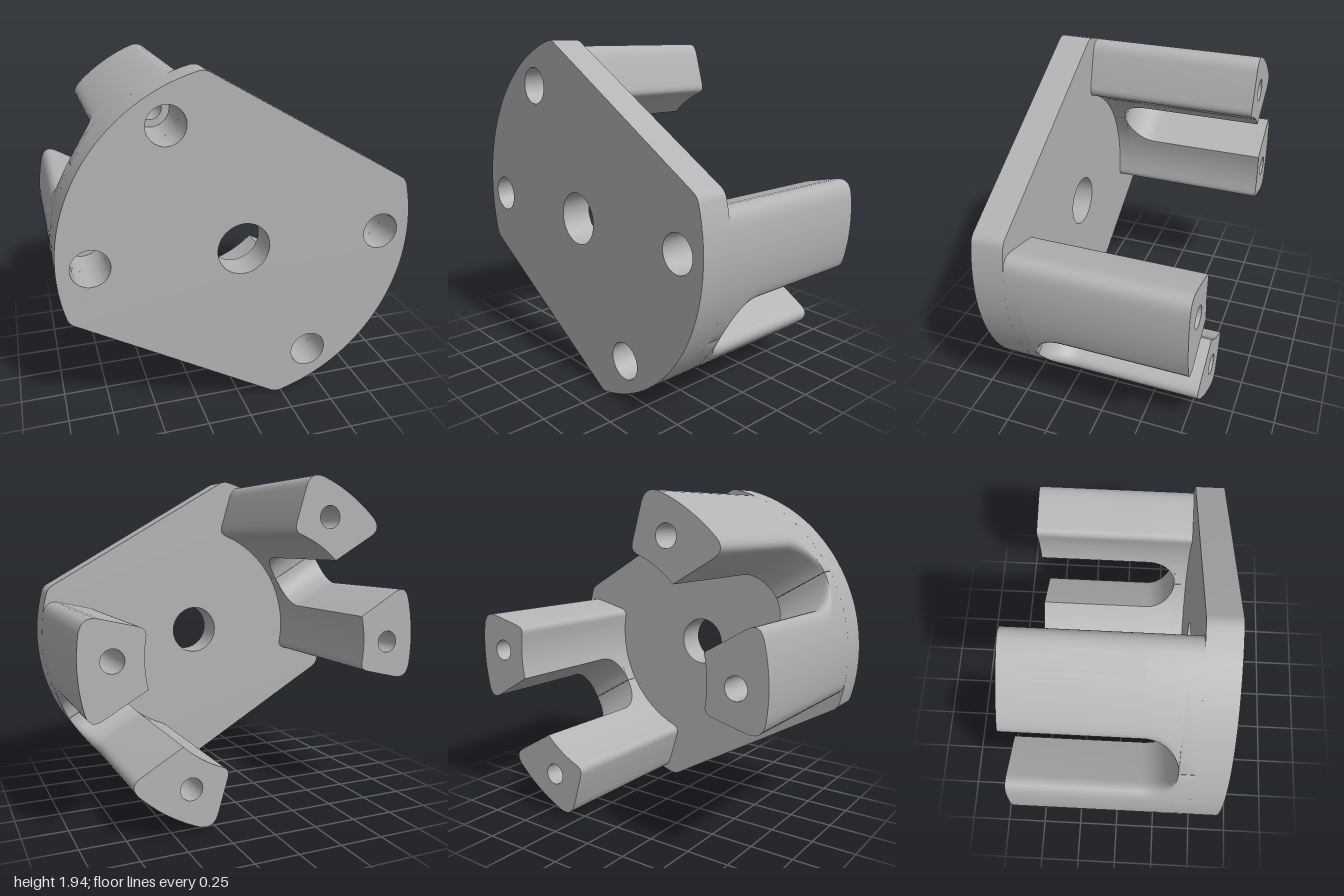
import * as THREE from 'three';
import { toCreasedNormals } from 'three/addons/utils/BufferGeometryUtils.js';

const OUTER = 1, INNER = 0.66;          // wall radii
const END = THREE.MathUtils.degToRad(43.5); // half angle of one wall
const SLOT = 0.185, SLOT_Z = 0.135;     // slot half width, centre of its round end
const BACK = -0.58, PLATE = 0.4, FRONT = 0.58;
const HOLE_R = 0.824, BORE = 0.105, SCREW = 0.063;
const CENTRE_Y = 0.9725;

const polar = (r, a) => [r * Math.cos(a), r * Math.sin(a)];

function arc(r, a, b, n) { // interior points only
  const out = [];
  for (let i = 1; i < n; i++) out.push(polar(r, a + (b - a) * i / n));
  return out;
}

function roundCorner(p, c, q, n = 6) {
  const out = [];
  for (let i = 0; i <= n; i++) {
    const t = i / n, u = 1 - t;
    out.push([0, 1].map(k => u * u * p[k] + 2 * u * t * c[k] + t * t * q[k]));
  }
  return out;
}

// Cross-section of half a wall, leaving a slot of half width h
function section(h, side) {
  const so = Math.asin(h / OUTER), si = Math.asin(h / INNER);
  const k = 0.08 * h / SLOT;
  const d = polar(OUTER, so);
  const pts = [
    polar(INNER, si),
    ...roundCorner([d[0] - k, d[1]], d, polar(OUTER, so + k)),
    ...arc(OUTER, so + k, END - 0.09, 10),
    ...roundCorner(polar(OUTER, END - 0.09), polar(OUTER, END), polar(OUTER - 0.09, END)),
    ...roundCorner(polar(INNER + 0.05, END), polar(INNER, END), polar(INNER, END - 0.07)),
    ...arc(INNER, END - 0.07, si, 8),
  ].map(([x, y]) => [x, y * side]);
  return side < 0 ? pts.reverse() : pts;
}

// Half wall: straight post, then the rounded slot end, then solid base
function halfWallGeometry(side) {
  const layers = [[BACK, SLOT]];
  for (let i = 0; i <= 12; i++) {
    const a = i / 12 * Math.PI / 2;
    layers.push([SLOT_Z + SLOT * Math.sin(a), Math.max(0.001, SLOT * Math.cos(a))]);
  }
  layers.push([PLATE, 0.001]);
  const pos = [], idx = [];
  let n = 0;
  layers.forEach(([z, h]) => {
    const ring = section(h, side);
    n = ring.length;
    ring.forEach(([x, y]) => pos.push(x, y, z));
  });
  for (let j = 0; j < layers.length - 1; j++) {
    for (let i = 0; i < n; i++) {
      const a = j * n + i, b = j * n + (i + 1) % n;
      idx.push(a, b, b + n, a, b + n, a + n);
    }
  }
  const g = new THREE.BufferGeometry();
  g.setAttribute('position', new THREE.Float32BufferAttribute(pos, 3));
  g.setIndex(idx);
  return toCreasedNormals(g, 0.6);
}

function addHole(shape, x, y, r) {
  const hole = new THREE.Path();
  hole.absarc(x, y, r, 0, Math.PI * 2, true);
  shape.holes.push(hole);
}

// Back face of a post, with its screw hole
function postEndGeometry(side) {
  const shape = new THREE.Shape(section(SLOT, side).map(([x, y]) => new THREE.Vector2(-x, y)));
  const [hx, hy] = polar(HOLE_R, side * Math.PI / 6);
  addHole(shape, -hx, hy, SCREW);
  return new THREE.ShapeGeometry(shape, 16).rotateY(Math.PI).translate(0, 0, BACK);
}

// Disc with two parallel flats and rounded corners
function plateGeometry() {
  const flat = 0.738, r = 0.08, up = Math.PI / 3;
  const a = Math.acos((flat - r) / (1 - r));
  const shape = new THREE.Shape();
  for (const dir of [up, up + Math.PI]) {
    const [x0, y0] = polar(1 - r, dir - a), [x1, y1] = polar(1 - r, dir + a);
    shape.absarc(x0, y0, r, dir - a, dir, false);
    shape.absarc(x1, y1, r, dir, dir + a, false);
    shape.absarc(0, 0, 1, dir + a, dir + Math.PI - a, false);
  }
  addHole(shape, 0, 0, 0.148);
  for (const deg of [0, 120, 180, 300]) {
    addHole(shape, ...polar(HOLE_R, THREE.MathUtils.degToRad(deg)), BORE);
  }
  const g = new THREE.ExtrudeGeometry(shape, { depth: FRONT - PLATE, bevelEnabled: false, curveSegments: 16 });
  return toCreasedNormals(g.translate(0, 0, PLATE), 0.6);
}

// Stepped screw hole lining, wide at the front
function boreGeometry() {
  const pts = [[SCREW, BACK], [SCREW, 0.2], [BORE, 0.2], [BORE, PLATE]].map(p => new THREE.Vector2(...p));
  const g = new THREE.LatheGeometry(pts, 32).rotateX(Math.PI / 2);
  g.deleteAttribute('normal');
  return toCreasedNormals(g, 0.6);
}

export function createModel() {
  const model = new THREE.Group();
  model.name = 'motorBracket';
  const grey = new THREE.MeshStandardMaterial({ color: 0xb3b3b3, side: THREE.DoubleSide });
  grey.name = 'grey';

  const add = (parent, name, geometry) => {
    const mesh = new THREE.Mesh(geometry, grey);
    mesh.name = name;
    parent.add(mesh);
    return mesh;
  };

  const body = new THREE.Group();
  body.name = 'body';
  body.position.y = CENTRE_Y;
  model.add(body);

  add(body, 'mountingPlate', plateGeometry());

  // Two opposite walls, each with a pair of posts
  for (const [name, deg] of [['leftWall', -30], ['rightWall', 150]]) {
    const wall = new THREE.Group();
    wall.name = name;
    wall.rotation.z = THREE.MathUtils.degToRad(deg);
    body.add(wall);
    for (const side of [1, -1]) {
      add(wall, 'post', halfWallGeometry(side));
      add(wall, 'postEnd', postEndGeometry(side));
      const [x, y] = polar(HOLE_R, side * Math.PI / 6);
      add(wall, 'screwHole', boreGeometry()).position.set(x, y, 0);
    }
  }
  return model;
}
